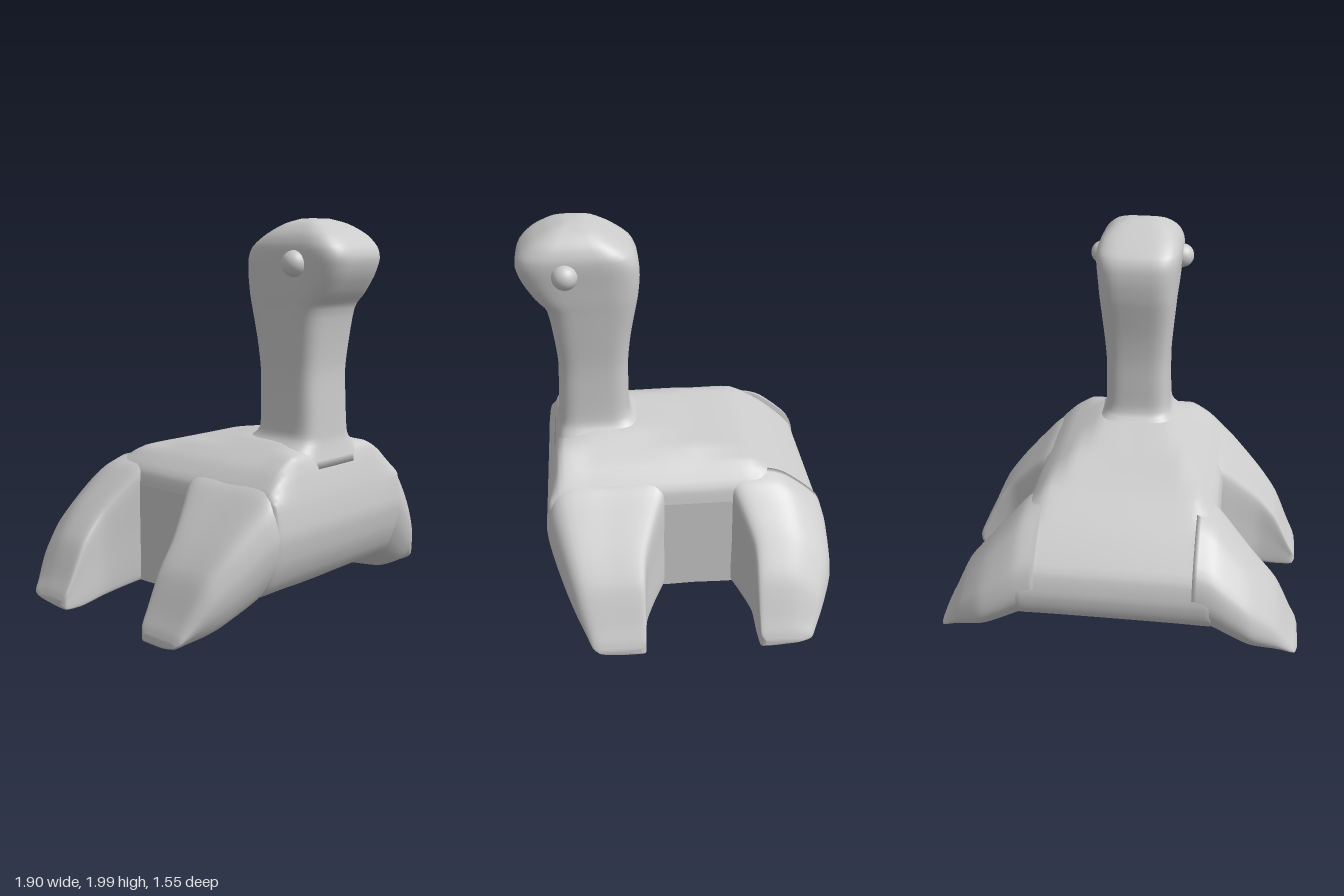
import * as THREE from 'three';

const material = new THREE.MeshStandardMaterial({ color: 0xcccccc });

// Linear lookup in a list of [key, value] pairs
function lookup(table, k) {
  for (let i = 1; i < table.length; i++) {
    const [a, va] = table[i - 1], [b, vb] = table[i];
    if (k <= b) return THREE.MathUtils.lerp(va, vb, (k - a) / (b - a));
  }
  return table[table.length - 1][1];
}

// Smooth skin through closed rings, with end caps, always facing outwards
function loft(name, rings, { around = 48, along = 4, tension = 0.4, flatCaps = false } = {}) {
  const curve = (pts, closed) => new THREE.CatmullRomCurve3(pts, closed, 'catmullrom', tension);
  const fine = rings.map((ring) => {
    const c = curve(ring, true);
    return Array.from({ length: around }, (_, j) => c.getPoint(j / around));
  });
  const rows = (rings.length - 1) * along + 1;
  const points = [], index = [];
  const rails = fine[0].map((_, j) => curve(fine.map((r) => r[j]), false));
  for (let i = 0; i < rows; i++) {
    for (const rail of rails) points.push(rail.getPoint(i / (rows - 1)));
  }
  for (let i = 0; i < rows - 1; i++) {
    for (let j = 0; j < around; j++) {
      const a = i * around + j, b = i * around + (j + 1) % around;
      index.push(a, b, a + around, b, b + around, a + around);
    }
  }
  for (const end of [0, rows - 1]) {
    let start = end * around;
    const ring = points.slice(start, start + around);
    if (flatCaps) {
      start = points.length;
      points.push(...ring.map((p) => p.clone()));
    }
    const centre = ring.reduce((s, p) => s.add(p), new THREE.Vector3()).divideScalar(around);
    const c = points.push(centre) - 1;
    for (let j = 0; j < around; j++) {
      const a = start + j, b = start + (j + 1) % around;
      if (end) index.push(a, b, c); else index.push(b, a, c);
    }
  }
  // Reverse the faces if the enclosed volume is negative
  let volume = 0;
  const n = new THREE.Vector3();
  for (let t = 0; t < index.length; t += 3) {
    volume += points[index[t]].dot(n.crossVectors(points[index[t + 1]], points[index[t + 2]]));
  }
  if (volume < 0) index.reverse();
  const geometry = new THREE.BufferGeometry().setFromPoints(points);
  geometry.setIndex(index);
  geometry.computeVertexNormals();
  const mesh = new THREE.Mesh(geometry, material);
  mesh.name = name;
  return mesh;
}

// Body: side profile (z, y), limited by an arched back and a keeled belly across x
const bodyProfile = [
  [0.45, 0.92], [0.2, 0.91], [-0.1, 0.855], [-0.38, 0.8], [-0.58, 0.67], [-0.74, 0.52],
  [-0.775, 0.4], [-0.76, 0.3], [-0.66, 0.2], [-0.36, 0.012], [-0.08, 0.01], [0.2, 0.01],
  [0.57, 0.2], [0.66, 0.35], [0.69, 0.5], [0.67, 0.66], [0.61, 0.85],
];
const backArch = [[0, 0.93], [0.2, 0.9], [0.3, 0.85], [0.4, 0.79], [0.49, 0.7], [0.51, 0.62]];
const bellyKeel = [[0, 0.01], [0.2, 0.025], [0.33, 0.04], [0.47, 0.09], [0.51, 0.1]];

function makeBody() {
  const half = [0.1, 0.2, 0.3, 0.4, 0.49, 0.51];
  const stations = [...half.map((x) => -x).reverse(), 0, ...half];
  const rings = stations.map((x) => bodyProfile.map(([z, y]) => new THREE.Vector3(x,
    THREE.MathUtils.clamp(y, lookup(bellyKeel, Math.abs(x)), lookup(backArch, Math.abs(x))),
    Math.abs(x) > 0.5 ? z * 0.97 : z)));
  return loft('body', rings, { around: 68, along: 3, tension: 0.3, flatCaps: true });
}

// Flippers: unit outline (u inner to outer edge, v bottom to top) at each station
const frontOutline = [
  [0, 0.06], [0.08, 0], [0.5, 0.01], [0.8, 0.18], [0.95, 0.43], [1, 0.67],
  [0.95, 0.9], [0.83, 1], [0.45, 1], [0.1, 1], [0, 0.92], [0, 0.5],
];
const rearOutline = [
  [0, 0.06], [0.06, 0], [0.3, 0.01], [0.77, 0.18], [0.97, 0.36], [1, 0.52],
  [0.93, 0.72], [0.62, 0.94], [0.4, 1], [0.1, 1], [0, 0.92], [0, 0.5],
];
// Each station: x, inner z, outer z, bottom y, top y
const frontStations = [
  [0.4, 0.04, 0.67, 0.1, 0.76], [0.5, 0.08, 0.69, 0.09, 0.7], [0.6, 0.135, 0.66, 0.06, 0.6],
  [0.72, 0.19, 0.61, 0.025, 0.47], [0.82, 0.205, 0.56, 0.01, 0.34], [0.9, 0.21, 0.505, 0.01, 0.17],
  [0.935, 0.215, 0.48, 0.015, 0.1], [0.95, 0.24, 0.45, 0.03, 0.06],
];
const rearStations = [
  [0.4, -0.22, -0.77, 0.1, 0.75], [0.5, -0.27, -0.775, 0.09, 0.7], [0.6, -0.32, -0.775, 0.06, 0.6],
  [0.7, -0.36, -0.765, 0.03, 0.49], [0.82, -0.365, -0.71, 0.01, 0.34], [0.9, -0.37, -0.66, 0.01, 0.17],
  [0.935, -0.375, -0.635, 0.015, 0.1], [0.95, -0.4, -0.58, 0.03, 0.06],
];

function makeFlipper(name, outline, stations, side) {
  const rings = stations.map(([x, zi, zo, yb, yt]) => outline.map(([u, v]) => new THREE.Vector3(
    side * x, THREE.MathUtils.lerp(yb, yt, v), THREE.MathUtils.lerp(zi, zo, u))));
  return loft(name, rings);
}

// Neck and head: rounded rectangles; each station is y, half width, back z, front z
const neckStations = [
  [0.78, 0.36, 0.08, 0.64], [0.89, 0.215, 0.17, 0.612], [0.95, 0.182, 0.23, 0.606],
  [1.1, 0.176, 0.233, 0.6], [1.25, 0.176, 0.231, 0.595], [1.4, 0.188, 0.215, 0.61],
  [1.56, 0.203, 0.185, 0.638], [1.63, 0.211, 0.172, 0.695], [1.72, 0.219, 0.164, 0.752],
  [1.8, 0.227, 0.17, 0.778], [1.86, 0.226, 0.2, 0.76], [1.92, 0.2, 0.28, 0.7],
  [1.97, 0.145, 0.37, 0.61], [1.995, 0.07, 0.44, 0.53],
];

function makeNeck() {
  const power = (t) => Math.sign(t) * Math.pow(Math.abs(t), 0.48);
  const rings = neckStations.map(([y, w, zb, zf]) => Array.from({ length: 24 }, (_, i) => {
    const a = (i + 0.5) / 24 * Math.PI * 2;
    return new THREE.Vector3(w * power(Math.cos(a)), y, (zb + zf) / 2 + (zf - zb) / 2 * power(Math.sin(a)));
  }));
  return loft('neckAndHead', rings, { along: 3 });
}

export function createModel() {
  const model = new THREE.Group();
  model.name = 'longNeckedCreature';
  model.add(makeBody(), makeNeck());

  // Paired flippers and eyes
  for (const [label, side] of [['left', 1], ['right', -1]]) {
    model.add(makeFlipper(label + 'FrontFlipper', frontOutline, frontStations, side));
    model.add(makeFlipper(label + 'RearFlipper', rearOutline, rearStations, side));
    const eye = new THREE.Mesh(new THREE.SphereGeometry(0.064, 24, 16), material);
    eye.name = label + 'Eye';
    eye.position.set(side * 0.221, 1.78, 0.535);
    model.add(eye);
  }
  return model;
}
